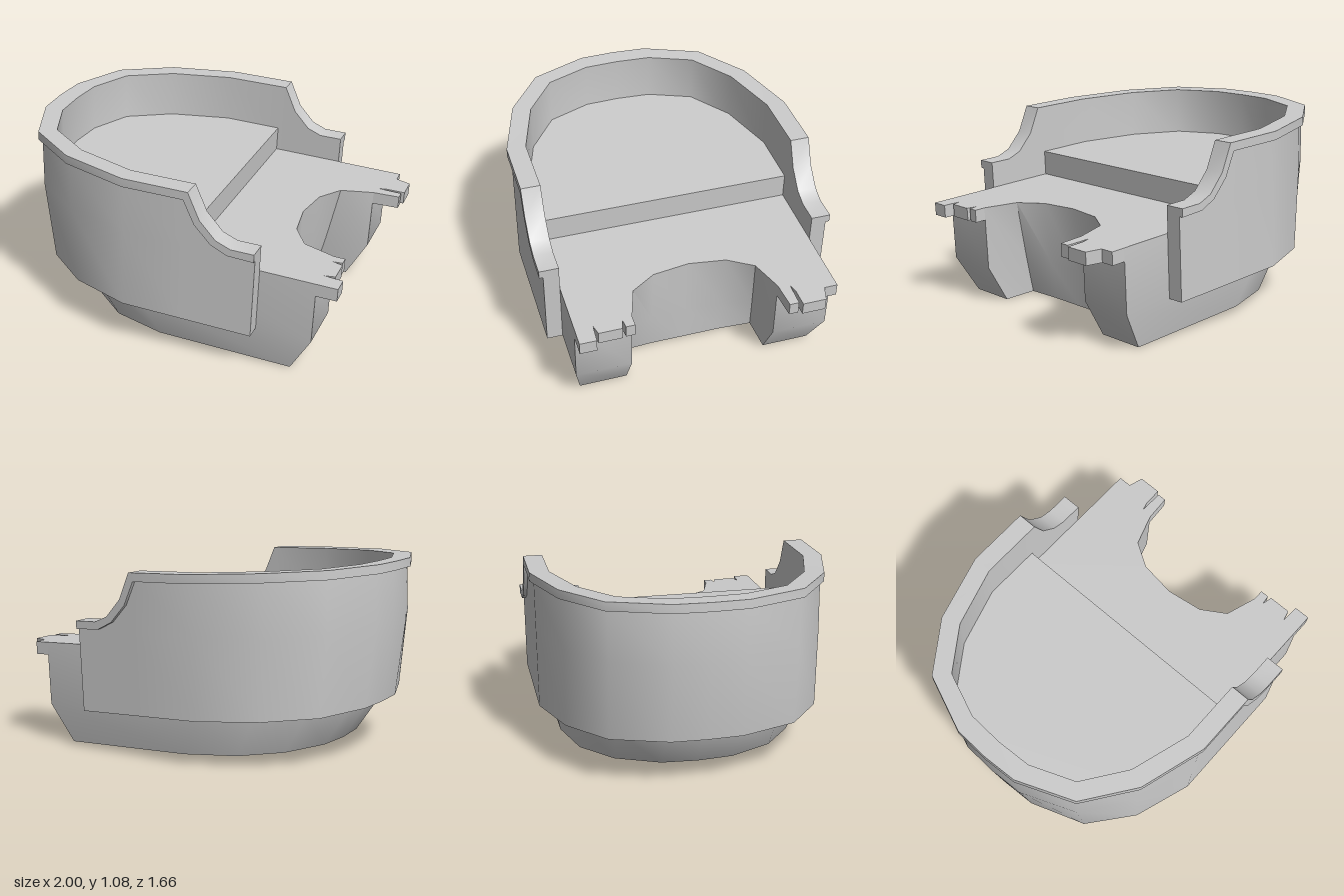
import * as THREE from 'three';
import { toCreasedNormals } from 'three/addons/utils/BufferGeometryUtils.js';

const CREASE = 0.7;
const material = new THREE.MeshStandardMaterial({ color: 0xcccccc, side: THREE.DoubleSide });

// Heights of the deck, raised floor, shell underside and fold, and half width inside
const DECK = 0.612, FLOOR = 0.755, FOLD = 0.254, W = 0.723;
// Rounded tail, half outlines as [x, z]; START is where the curve begins
const START = -0.25;
const TAIL_IN = [[START, W], [-0.59, 0.62], [-0.83, 0.45], [-0.93, 0.2], [-0.94, 0]];
const TAIL_OUT = [[START, 0.832], [-0.63, 0.72], [-0.91, 0.52], [-1.04, 0.2], [-1.05, 0]];
const TAIL_FOLD = [[-0.19, W], [-0.5, 0.635], [-0.72, 0.455], [-0.855, 0.2], [-0.865, 0]];
const TAIL_LOW = [[-0.08, 0.68], [-0.37, 0.605], [-0.57, 0.44], [-0.685, 0.2], [-0.703, 0]];
// Concave mouth between the two legs, half outline
const MOUTH = [[0.5, 0], [0.53, 0.21], [0.62, 0.35], [0.805, 0.41]];

const squash = (x, k) => (x < START ? START + (x - START) * k : x);
const mirrorOutline = (points) => points.map(([x, z]) => [x, -z]).reverse();
const toShape = (points) => new THREE.Shape(points.map(([x, z]) => new THREE.Vector2(x, z)));

function addMesh(group, name, geometry) {
  const mesh = new THREE.Mesh(toCreasedNormals(geometry, CREASE), material);
  mesh.name = name;
  group.add(mesh);
}

// Mirror a half run of cross-sections (ending on z = 0) to the other side
function mirrorSections(half, dropFirst) {
  const other = half.slice(dropFirst ? 1 : 0, -1).reverse();
  return [...half, ...other.map((s) => s.map(([x, y, z]) => [x, y, -z]))];
}

// Skin a run of cross-sections with quads
function loft(sections, { closedRun = false, closedSection = false, caps = [] }) {
  const pos = [];
  const n = sections.length;
  const m = sections[0].length;
  for (let i = 0; i < (closedRun ? n : n - 1); i++) {
    for (let j = 0; j < (closedSection ? m : m - 1); j++) {
      const p = sections[i], q = sections[(i + 1) % n], k = (j + 1) % m;
      pos.push(...p[j], ...p[k], ...q[k], ...p[j], ...q[k], ...q[j]);
    }
  }
  for (const [a, b, c] of caps) {
    const p = sections[0], q = sections[n - 1];
    pos.push(...p[a], ...p[c], ...p[b], ...q[a], ...q[b], ...q[c]);
  }
  const geometry = new THREE.BufferGeometry();
  geometry.setAttribute('position', new THREE.Float32BufferAttribute(pos, 3));
  return geometry;
}

// Horizontal sheet facing up, from an [x, z] outline
function sheet(outline, height) {
  const flipped = outline.map(([x, z]) => [x, -z]);
  return new THREE.ShapeGeometry(toShape(flipped)).rotateX(-Math.PI / 2).translate(0, height, 0);
}

// Horizontal slab from an [x, z] outline
function slab(outline, top, depth) {
  return new THREE.ExtrudeGeometry(toShape(outline), { depth, bevelEnabled: false })
    .rotateX(Math.PI / 2).translate(0, top, 0);
}

// U-shaped outer wall with a small overhanging rim that dips at the front
function shellGeometry() {
  // rim top x, y and rim underside x, y along the straight side
  const dip = [
    [0.495, 0.763, 0.495, 0.717], [0.365, 0.762, 0.345, 0.721], [0.283, 0.793, 0.255, 0.762],
    [0.19, 0.888, 0.16, 0.857], [0.12, 1.034, 0.095, 0.986],
  ];
  const section = ([x, z], inner, innerLow, top, xLow, low) => {
    const zb = z * 0.81 / 0.832;
    return [
      [squash(x, 0.8675), FOLD, zb], [squash(x, 0.965), 0.7, zb], [squash(xLow, 0.972), low, zb],
      [xLow, low, z], [x, top, z], [inner[0], top, inner[1]],
      [inner[0], 0.7, inner[1]], [innerLow[0], FOLD, innerLow[1]],
    ];
  };
  const half = dip.map(([x, y, xl, yl]) => section([x, 0.832], [x, W], [x, W], y, xl, yl));
  TAIL_OUT.forEach((p, i) => half.push(section(p, TAIL_IN[i], TAIL_FOLD[i], 1.03, p[0], 0.981)));
  return loft(mirrorSections(half, false), {
    closedSection: true,
    caps: [[0, 1, 6], [0, 6, 7], [1, 2, 6], [2, 5, 6], [2, 3, 4], [2, 4, 5]],
  });
}

// Thin-walled lower body, open underneath, with two legs around the mouth
function bodyGeometry() {
  const section = (low, mid, top) => [
    [low[0], 0.032, low[1]], [mid[0], FOLD, mid[1]], [top[0], DECK, top[1]],
  ];
  const half = [
    section([0.49, 0], [0.495, 0], MOUTH[0]),
    section([0.49, 0.21], [0.51, 0.21], MOUTH[1]),
    section([0.5, 0.4], [0.55, 0.38], MOUTH[2]),
    section([0.69, 0.41], MOUTH[3], MOUTH[3]),
    section([0.69, 0.68], [0.805, W], [0.805, W]),
  ];
  TAIL_IN.forEach(([x, z], i) => half.push(section(TAIL_LOW[i], TAIL_FOLD[i], [squash(x, 0.97), z])));
  return loft(mirrorSections(half, true), { closedRun: true });
}

export function createModel() {
  const model = new THREE.Group();
  model.name = 'model';
  const tilted = new THREE.Group();
  tilted.name = 'tiltedAssembly';
  tilted.rotation.z = -0.047;
  model.add(tilted);

  addMesh(tilted, 'outerShell', shellGeometry());
  addMesh(tilted, 'lowerBody', bodyGeometry());

  // Thin raised floor inside the shell, riser and front deck
  const STEP = 0.088;
  addMesh(tilted, 'raisedFloor', sheet(
    [[STEP, W], ...TAIL_IN, ...mirrorOutline(TAIL_IN.slice(0, -1)), [STEP, -W]], FLOOR));
  addMesh(tilted, 'riser', new THREE.PlaneGeometry(2 * W, FLOOR - DECK)
    .rotateY(Math.PI / 2).translate(STEP, (FLOOR + DECK) / 2, 0));
  addMesh(tilted, 'frontDeck', sheet(
    [...MOUTH, [0.805, W], [STEP, W], [STEP, -W], [0.805, -W],
      ...mirrorOutline(MOUTH.slice(1))], DECK));

  // Uneven notched prongs at the end of each leg
  const leftProngs = [
    [0.805, 0.41], [0.868, 0.41], [0.868, 0.46], [0.815, 0.466], [0.873, 0.48],
    [0.873, 0.61], [0.815, 0.624], [0.92, 0.63], [0.92, W], [0.805, W],
  ];
  const rightProngs = [
    [0.805, -W], [0.887, -W], [0.887, -0.648], [0.972, -0.622], [0.972, -0.49],
    [0.865, -0.488], [0.815, -0.475], [0.956, -0.472], [0.956, -0.42], [0.805, -0.41],
  ];
  addMesh(tilted, 'leftProngs', slab(leftProngs, DECK, 0.072));
  addMesh(tilted, 'rightProngs', slab(rightProngs, DECK, 0.072));

  return model;
}
